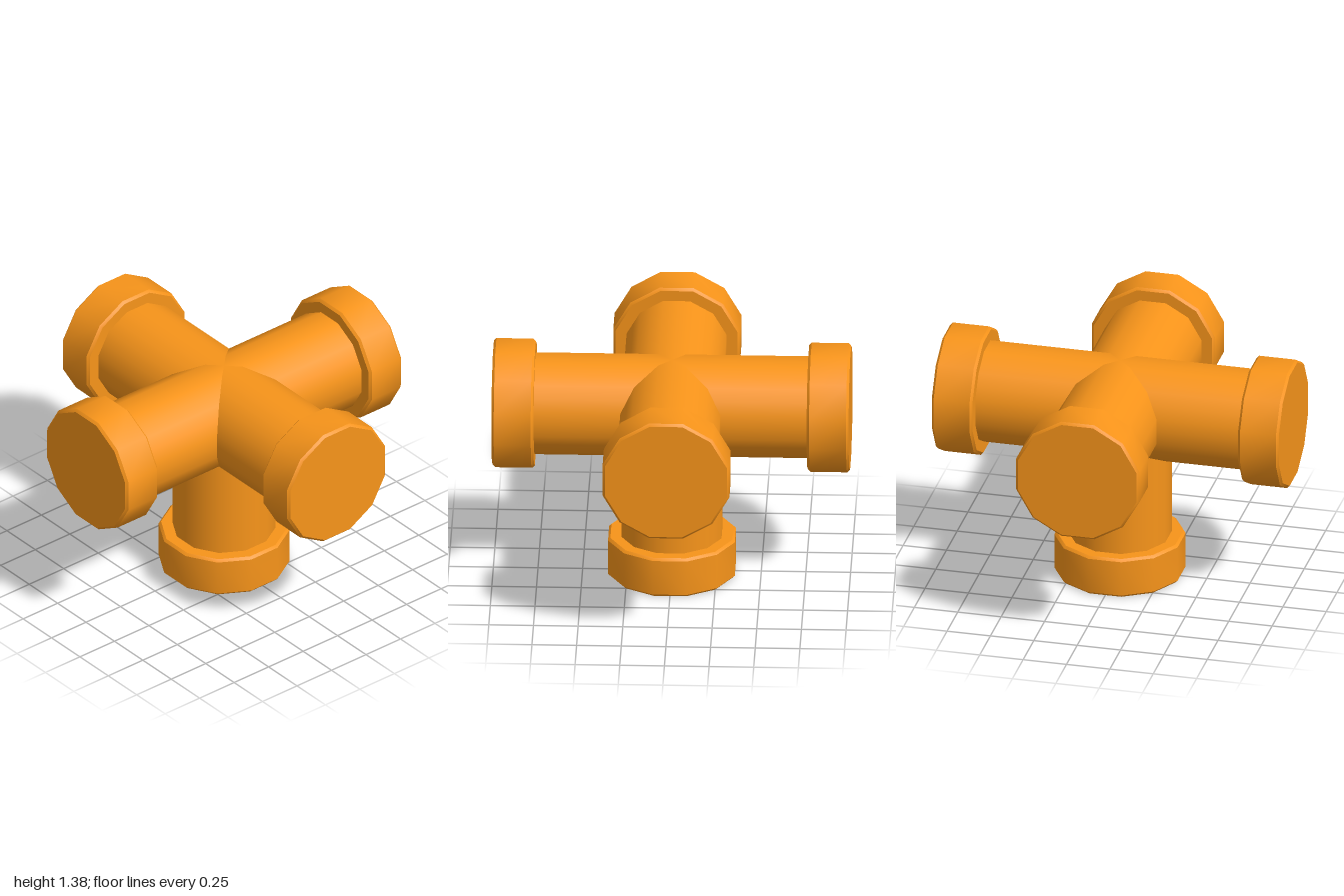
import * as THREE from 'three';
import { toCreasedNormals } from 'three/addons/utils/BufferGeometryUtils.js';

const SIDES = 12;
const HALF = Math.PI / SIDES;
const CENTRE_Y = 1.02;
const PIPE_R = 0.28 / Math.cos(HALF);   // corner radius from flat distance
const COLLAR_R = 0.355 / Math.cos(HALF);
const COLLAR_LEN = 0.235;
const BEVEL = 0.014;

// Twelve-sided pipe along +y whose inner end is cut by the mitre rule
function pipeGeometry(length, mitre) {
  const geo = new THREE.CylinderGeometry(PIPE_R, PIPE_R, 1, SIDES * 2, 1, true);
  const pos = geo.attributes.position;
  for (let i = 0; i < pos.count; i++) {
    // even columns lie in the middle of a flat
    const k = (i % (SIDES * 2 + 1)) % 2 === 0 ? Math.cos(HALF) : 1;
    const x = pos.getX(i) * k, z = pos.getZ(i) * k;
    pos.setXYZ(i, x, pos.getY(i) > 0 ? length - 0.1 : mitre(x, z), z);
  }
  return geo;
}

// Bevelled, closed end collar along +y
function collarGeometry(length) {
  const start = length - COLLAR_LEN;
  const profile = [
    [PIPE_R - 0.03, start],
    [COLLAR_R - BEVEL, start],
    [COLLAR_R, start + BEVEL],
    [COLLAR_R, length - BEVEL],
    [COLLAR_R - BEVEL, length],
    [0, length],
  ].map(([r, y]) => new THREE.Vector2(r, y));
  const geo = new THREE.LatheGeometry(profile, SIDES, HALF);
  return toCreasedNormals(geo, 0.6);
}

export function createModel() {
  const model = new THREE.Group();
  model.name = 'pipeJunction';
  const material = new THREE.MeshStandardMaterial({ color: 0xf7941a });

  function addArm(name, length, mitre, tilt, turn) {
    const arm = new THREE.Group();
    arm.name = name;
    const parts = { Pipe: pipeGeometry(length, mitre), Collar: collarGeometry(length) };
    for (const [part, geo] of Object.entries(parts)) {
      const mesh = new THREE.Mesh(geo.rotateX(tilt), material);
      mesh.name = name + part;
      arm.add(mesh);
    }
    arm.rotation.y = turn;
    arm.position.y = CENTRE_Y;
    model.add(arm);
  }

  // Four level arms, mitred against their neighbours and the lower arm
  ['front', 'left', 'back', 'right'].forEach((name, i) =>
    addArm(name, 1, (x, z) => Math.max(Math.abs(x), z), Math.PI / 2, i * Math.PI / 2));

  // Lower arm, standing on the ground
  addArm('lower', CENTRE_Y, (x, z) => Math.max(Math.abs(x), Math.abs(z)), Math.PI, 0);

  return model;
}
